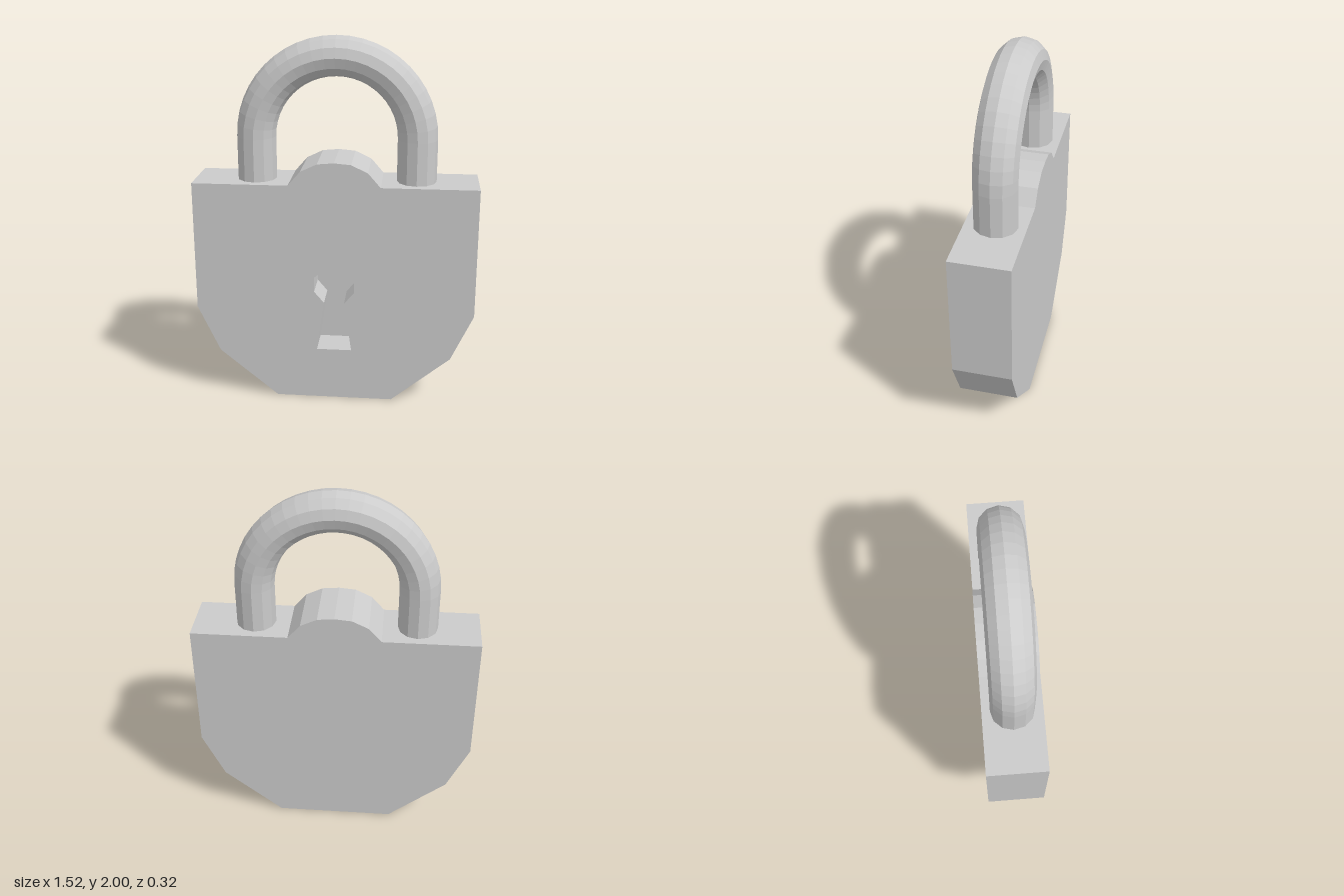
import * as THREE from 'three';

const DEPTH = 0.158;   // half thickness of the body
const SEAM = -0.02;    // z of the keyhole floor
const TOP = 1.235;     // height of the shoulders

const material = new THREE.MeshStandardMaterial({ color: 0xcccccc, flatShading: true });

// Mirrors a right-hand half profile (listed bottom to top) into a closed outline
function mirrored(half, Type) {
  const right = half.map(([x, y]) => new THREE.Vector2(x, y));
  const left = half.filter(([x]) => x > 0).reverse().map(([x, y]) => new THREE.Vector2(-x, y));
  return new Type([...right, ...left]);
}

// Extrudes between two depths and leaves out the cap hidden at the seam
function slab(shape, z0, z1) {
  const g = new THREE.ExtrudeGeometry(shape, { depth: z1 - z0, bevelEnabled: false });
  g.translate(0, 0, z0);
  const p = g.attributes.position;
  const kept = [];
  for (let i = 0; i < p.count; i += 3) {
    const hidden = [0, 1, 2].every((k) => Math.abs(p.getZ(i + k) - SEAM) < 1e-5);
    if (!hidden) for (let k = 0; k < 3; k++) kept.push(p.getX(i + k), p.getY(i + k), p.getZ(i + k));
  }
  const out = new THREE.BufferGeometry();
  out.setAttribute('position', new THREE.Float32BufferAttribute(kept, 3));
  out.computeVertexNormals();
  return out;
}

function addMesh(parent, name, geometry) {
  const mesh = new THREE.Mesh(geometry, material);
  mesh.name = name;
  parent.add(mesh);
  return mesh;
}

export function createModel() {
  const model = new THREE.Group();
  model.name = 'padlock';

  // Body outline: tapered base, straight sides, low dome on top
  const bodyHalf = [
    [0.32, 0], [0.64, 0.265], [0.76, 0.525], [0.76, TOP],
    [0.245, TOP], [0.178, 1.312], [0.09, 1.354], [0, 1.362],
  ];
  const keyholeHalf = [
    [0.095, 0.295], [0.055, 0.575], [0.109, 0.638], [0.109, 0.72], [0.055, 0.765], [0, 0.778],
  ];

  const body = new THREE.Group();
  body.name = 'body';
  model.add(body);
  const front = mirrored(bodyHalf, THREE.Shape);
  front.holes.push(mirrored(keyholeHalf, THREE.Path));
  addMesh(body, 'bodyFront', slab(front, SEAM, DEPTH));
  addMesh(body, 'bodyBack', slab(mirrored(bodyHalf, THREE.Shape), -DEPTH, SEAM));
  const floor = new THREE.ShapeGeometry(mirrored(keyholeHalf, THREE.Shape));
  addMesh(body, 'keyholeFloor', floor).position.z = SEAM;

  // Shackle: half ring on two straight legs
  const shackle = new THREE.Group();
  shackle.name = 'shackle';
  model.add(shackle);
  const ringRadius = 0.43, barRadius = 0.106, springY = 1.464;
  const bow = addMesh(shackle, 'shackleBow', new THREE.TorusGeometry(ringRadius, barRadius, 12, 24, Math.PI));
  bow.position.y = springY;
  for (const side of [1, -1]) {
    const leg = addMesh(shackle, side > 0 ? 'leftLeg' : 'rightLeg',
      new THREE.CylinderGeometry(barRadius, barRadius, springY - TOP, 12, 1, true));
    leg.position.set(side * ringRadius, (springY + TOP) / 2, 0);
  }
  shackle.scale.z = 1.08;

  return model;
}
